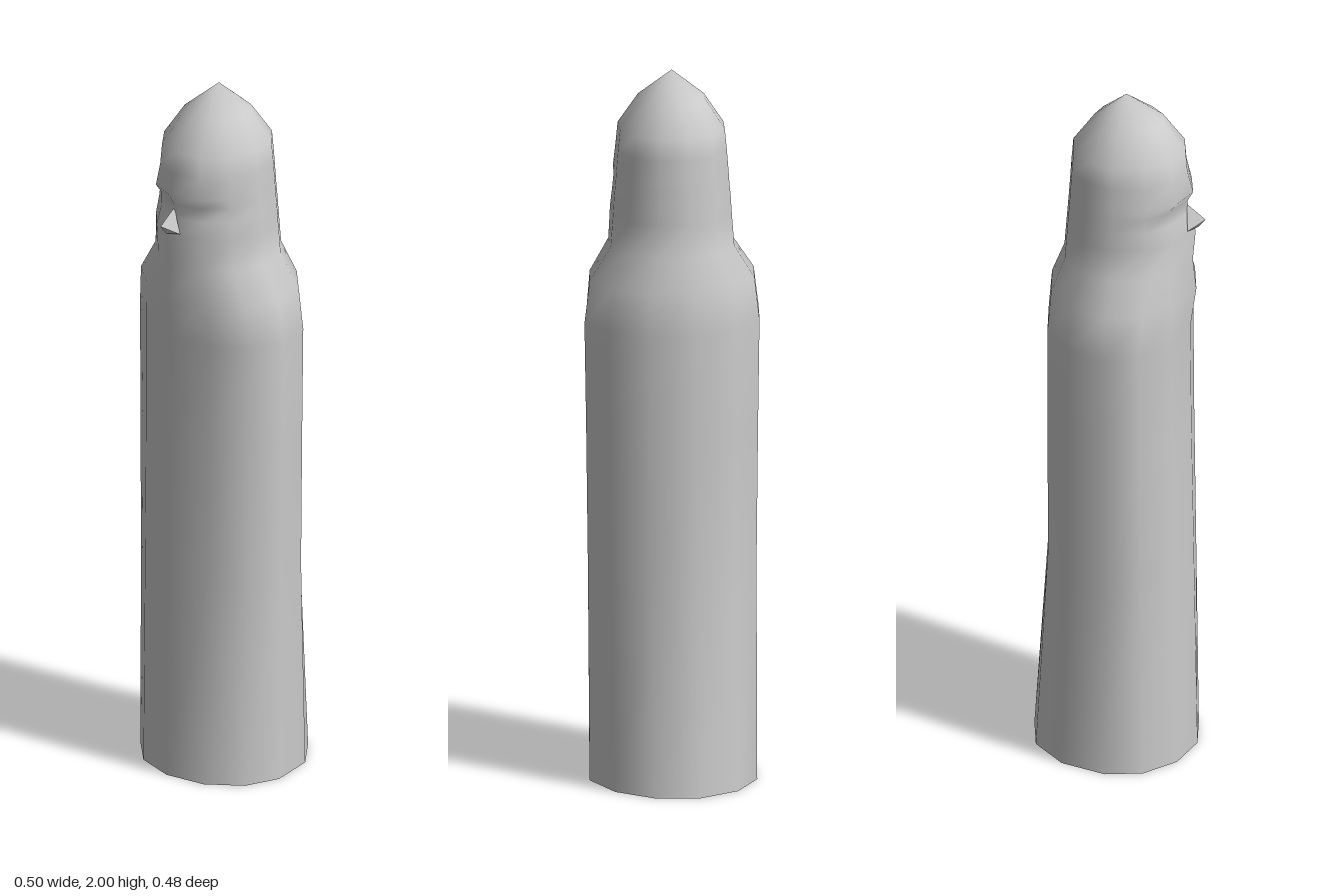
import * as THREE from 'three';

const SIDES = 12;
const AXIS_Z = 0.02;

// Cross-sections: height, half width, front z, back z, scale of the front side columns
const RINGS = [
  [0, 0.235, 0.22, -0.24, 1],
  [0.6, 0.24, 0.21, -0.2, 1],
  [1.0, 0.245, 0.203, -0.2, 1],
  [1.3, 0.25, 0.2, -0.2, 1],
  [1.42, 0.235, 0.217, -0.19, 0.95],
  [1.51, 0.175, 0.207, -0.155, 0.9],
  [1.6, 0.168, 0.215, -0.148, 0.92],
  [1.65, 0.165, 0.195, -0.144, 0.92],
  [1.69, 0.161, 0.192, -0.141, 0.94],
  [1.72, 0.159, 0.208, -0.139, 1],
  [1.78, 0.154, 0.192, -0.135, 1],
  [1.84, 0.148, 0.187, -0.13, 1],
  [1.925, 0.092, 0.125, -0.07, 1],
];

// Smooth closed loft with an open base and a pointed crown
function loft(rings, apex) {
  const pos = [], idx = [];
  for (const [y, w, front, back, pinch] of rings) {
    for (let i = 0; i < SIDES; i++) {
      const a = (i / SIDES) * Math.PI * 2;
      const c = Math.cos(a);
      const depth = c > 0 ? front - AXIS_Z : AXIS_Z - back;
      const k = i === 1 || i === SIDES - 1 ? pinch : 1;
      pos.push(w * Math.sin(a), y, AXIS_Z + depth * c * k);
    }
  }
  const tip = pos.length / 3;
  pos.push(...apex);
  for (let r = 0; r < rings.length; r++) {
    for (let i = 0; i < SIDES; i++) {
      const a = r * SIDES + i, b = r * SIDES + ((i + 1) % SIDES);
      if (r === rings.length - 1) idx.push(a, b, tip);
      else idx.push(a, b, b + SIDES, a, b + SIDES, a + SIDES);
    }
  }
  const g = new THREE.BufferGeometry();
  g.setAttribute('position', new THREE.Float32BufferAttribute(pos, 3));
  g.setIndex(idx);
  g.computeVertexNormals();
  return g;
}

export function createModel() {
  const group = new THREE.Group();
  group.name = 'hoodedFigure';

  // Robe, shoulders, face and hood as one hollow skin
  const body = new THREE.Mesh(
    loft(RINGS, [0, 2, AXIS_Z]),
    new THREE.MeshStandardMaterial({ color: 0xcccccc, side: THREE.DoubleSide })
  );
  body.name = 'robeAndHood';
  group.add(body);

  // Pointed nose: bridge, tip and two nostril corners
  const bridge = [0, 1.68, 0.19], tip = [0, 1.638, 0.243];
  const left = [0.032, 1.612, 0.2], right = [-0.032, 1.612, 0.2];
  const base = [0, 1.612, 0.222];
  const noseGeo = new THREE.BufferGeometry();
  noseGeo.setAttribute('position', new THREE.Float32BufferAttribute([
    ...bridge, ...tip, ...left,
    ...bridge, ...right, ...tip,
    ...tip, ...base, ...left,
    ...tip, ...right, ...base,
  ], 3));
  noseGeo.computeVertexNormals();
  const nose = new THREE.Mesh(
    noseGeo,
    new THREE.MeshStandardMaterial({ color: 0xcccccc, flatShading: true, side: THREE.DoubleSide })
  );
  nose.name = 'nose';
  group.add(nose);

  return group;
}
